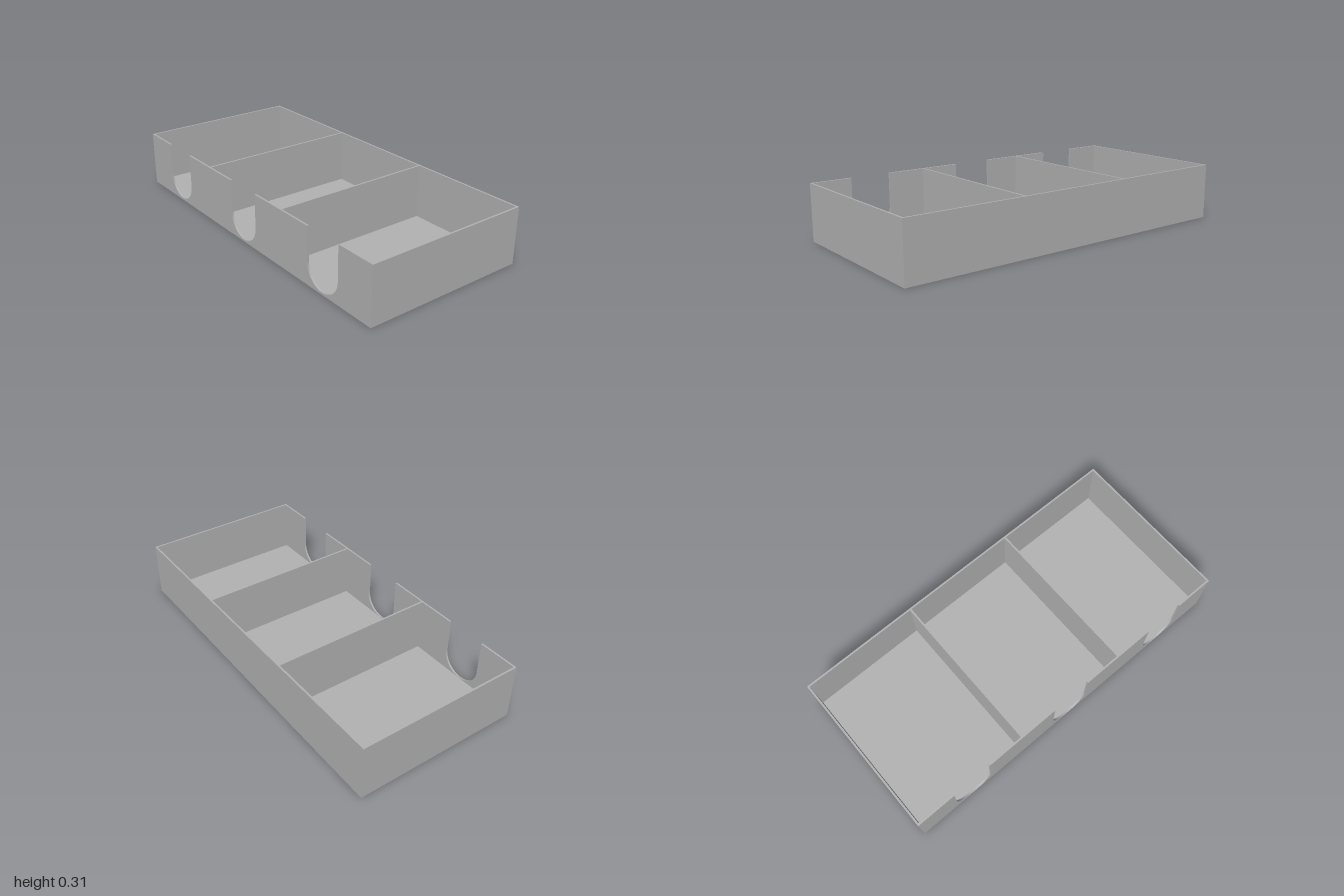
import * as THREE from 'three';

const W = 2, H = 0.31, D = 0.926, T = 0.01;
const NOTCH_R = 0.113, NOTCH_BOTTOM = 0.012, NOTCH_X = [-0.661, 0, 0.661];

export function createModel() {
  const tray = new THREE.Group();
  tray.name = 'compartmentTray';
  const gray = new THREE.MeshStandardMaterial({ color: 0xb2b2b2 });
  gray.name = 'plain gray';

  const add = (name, geometry, x, y, z) => {
    const mesh = new THREE.Mesh(geometry, gray);
    mesh.name = name;
    mesh.position.set(x, y, z);
    tray.add(mesh);
  };
  const box = (name, w, h, d, x, y, z) => add(name, new THREE.BoxGeometry(w, h, d), x, y, z);

  // Floor and plain walls, butted together without overlapping faces
  const wallH = H - T, wallY = T + wallH / 2, innerD = D - 2 * T;
  box('floor', W, T, D, 0, T / 2, 0);
  box('backWall', W, wallH, T, 0, wallY, -D / 2 + T / 2);
  for (const side of [-1, 1]) {
    const label = side > 0 ? 'left' : 'right';
    box(label + 'Wall', T, wallH, innerD, side * (W - T) / 2, wallY, 0);
    box(label + 'Divider', T, wallH, innerD, side * 0.331, wallY, 0);
  }

  // Front wall with a round-bottomed finger notch for each compartment
  const outline = new THREE.Shape();
  outline.moveTo(W / 2, T);
  outline.lineTo(W / 2, H);
  for (const x of [...NOTCH_X].reverse()) {
    outline.lineTo(x + NOTCH_R, H);
    outline.lineTo(x + NOTCH_R, NOTCH_BOTTOM + NOTCH_R);
    outline.absarc(x, NOTCH_BOTTOM + NOTCH_R, NOTCH_R, 0, -Math.PI, true);
    outline.lineTo(x - NOTCH_R, H);
  }
  outline.lineTo(-W / 2, H);
  outline.lineTo(-W / 2, T);
  outline.closePath();
  const front = new THREE.ExtrudeGeometry(outline, { depth: T, bevelEnabled: false, curveSegments: 32 });
  add('frontWall', front, 0, 0, D / 2 - T);

  return tray;
}
